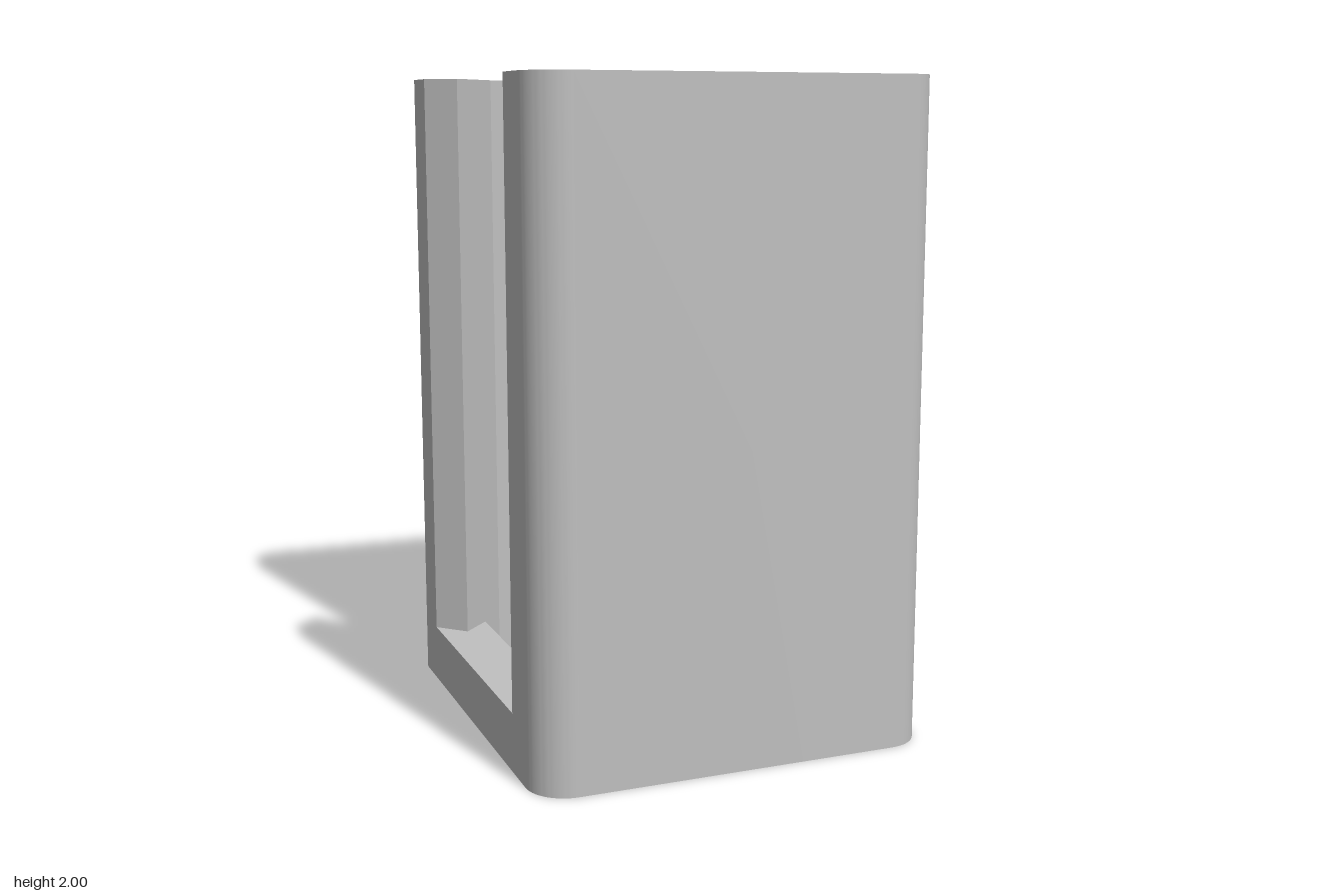
import * as THREE from 'three';
import { toCreasedNormals } from 'three/addons/utils/BufferGeometryUtils.js';

const HX = 0.62, HZ = 0.68;   // outer half sizes
const IX = 0.45, IZ = 0.51;   // inner half sizes
const R = 0.12;               // outer corner radius
const LIP = 0.44;             // half width of the slot at the wall faces
const TIP = 0.355;            // half width between the pointed lips
const MID = -(HX + IX) / 2;   // middle of the slotted wall

// Stands a plan shape (x, -z) upright from y = 0
function upright(shape, height) {
  const geometry = new THREE.ExtrudeGeometry(shape, {
    depth: height, bevelEnabled: false, curveSegments: 12,
  });
  geometry.rotateX(-Math.PI / 2);
  return toCreasedNormals(geometry, Math.PI / 6);
}

export function createModel() {
  const grey = new THREE.MeshStandardMaterial({ color: 0xc0c0c0 });
  grey.name = 'grey';

  // C-shaped sleeve with rounded outer corners and pointed lips at the slot
  const c = new THREE.Shape();
  c.moveTo(-HX, -LIP);
  c.lineTo(-HX, -HZ + R);
  c.absarc(-HX + R, -HZ + R, R, Math.PI, Math.PI * 1.5);
  c.absarc(HX - R, -HZ + R, R, Math.PI * 1.5, Math.PI * 2);
  c.absarc(HX - R, HZ - R, R, 0, Math.PI / 2);
  c.absarc(-HX + R, HZ - R, R, Math.PI / 2, Math.PI);
  c.lineTo(-HX, LIP);
  c.lineTo(MID, TIP);
  c.lineTo(-0.38, IZ);
  c.lineTo(IX, IZ);
  c.lineTo(IX, -IZ);
  c.lineTo(-0.38, -IZ);
  c.lineTo(MID, -TIP);
  c.closePath();
  const sleeve = new THREE.Mesh(upright(c, 2), grey);
  sleeve.name = 'sleeve';

  // Low sill closing the slot at the bottom, notched around the lips
  const s = new THREE.Shape([
    [-HX, -LIP], [MID, -TIP], [-IX, -LIP],
    [-IX, LIP], [MID, TIP], [-HX, LIP],
  ].map(([x, y]) => new THREE.Vector2(x, y)));
  const sill = new THREE.Mesh(upright(s, 0.18), grey);
  sill.name = 'slotSill';

  const model = new THREE.Group();
  model.name = 'slottedSleeve';
  model.add(sleeve, sill);
  return model;
}
